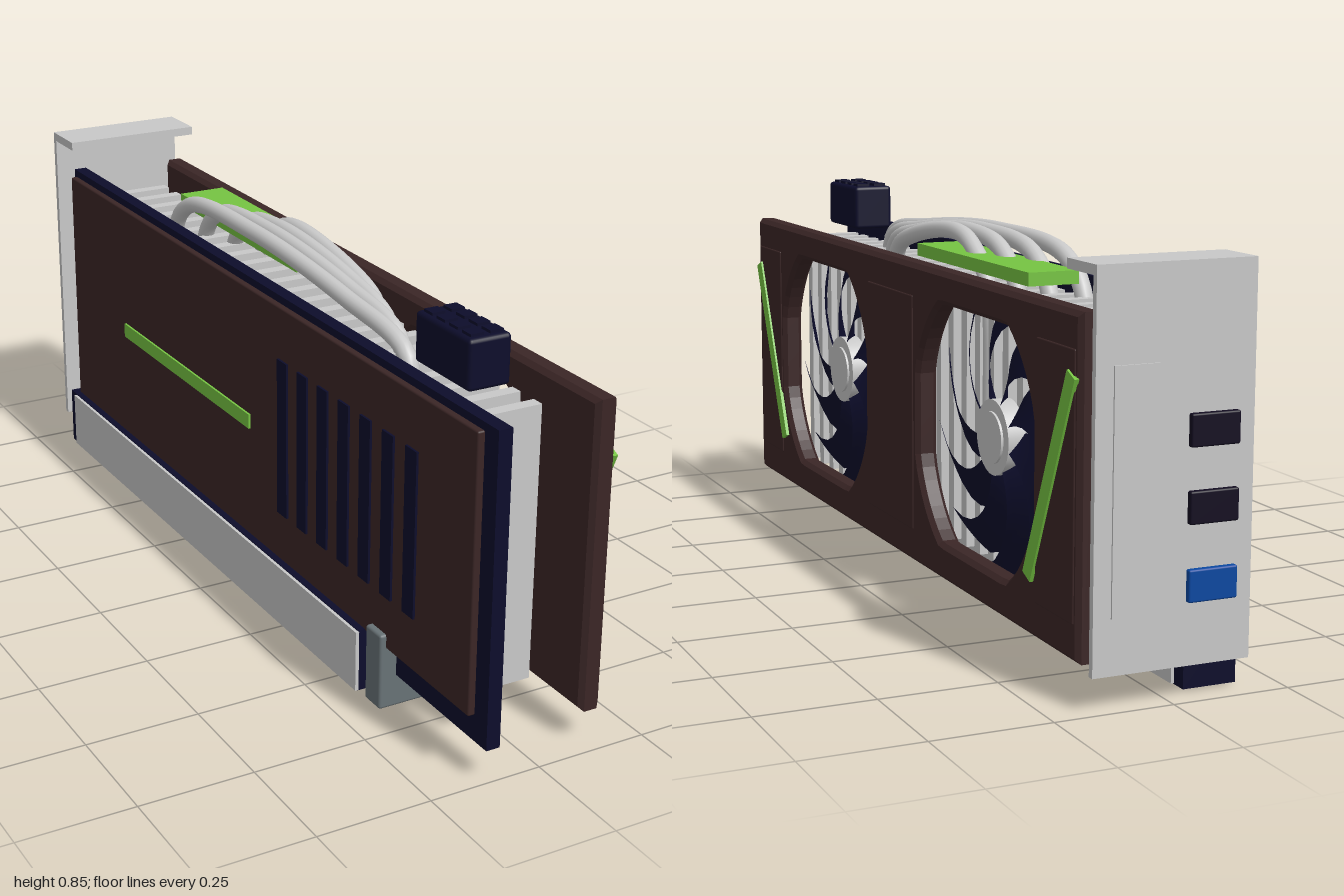
import * as THREE from 'three';
import { RoundedBoxGeometry } from 'three/addons/geometries/RoundedBoxGeometry.js';

const mat = (name, color, side = THREE.FrontSide) => {
  const m = new THREE.MeshStandardMaterial({ color, side });
  m.name = name;
  return m;
};

export function createModel() {
  const brown = mat('dark brown', 0x3b2626);
  const navy = mat('navy', 0x0d0d2b, THREE.DoubleSide);
  const silver = mat('light grey', 0xc8c8c8);
  const green = mat('lime green', 0x76c442);
  const slate = mat('slate grey', 0x687276);
  const dark = mat('port black', 0x120c20);
  const blue = mat('port blue', 0x0a47a0);

  const root = new THREE.Group();
  const add = (name, geo, material, parent = root) => {
    const mesh = new THREE.Mesh(geo, material);
    mesh.name = name;
    parent.add(mesh);
    return mesh;
  };
  // Box from its limits on each axis, optionally with rounded edges
  const box = (name, material, x, y, z, radius = 0, parent = root) => {
    const size = [x, y, z].map(([a, b]) => Math.abs(b - a));
    const geo = radius ? new RoundedBoxGeometry(...size, 2, radius) : new THREE.BoxGeometry(...size);
    const mesh = add(name, geo, material, parent);
    mesh.position.set((x[0] + x[1]) / 2, (y[0] + y[1]) / 2, (z[0] + z[1]) / 2);
    return mesh;
  };

  const fanY = 0.415;
  const fanZ = [0.48, -0.425];

  // Shroud: bevelled plate with two flattened round openings
  const plate = new THREE.Shape();
  plate.moveTo(-0.97, 0.075);
  plate.lineTo(0.92, 0.075);
  plate.lineTo(0.92, 0.745);
  plate.lineTo(-0.97, 0.745);
  plate.closePath();
  for (const z of fanZ) {
    const pts = [];
    for (let i = 0; i < 64; i++) {
      const a = (-i / 64) * Math.PI * 2;
      pts.push(new THREE.Vector2(
        -z + THREE.MathUtils.clamp(0.31 * Math.cos(a), -0.295, 0.295),
        fanY + THREE.MathUtils.clamp(0.31 * Math.sin(a), -0.26, 0.26)));
    }
    plate.holes.push(new THREE.Path(pts));
  }
  const shroudGeo = new THREE.ExtrudeGeometry(plate, {
    depth: 0.03, bevelThickness: 0.01, bevelSize: 0.01, bevelOffset: -0.01, bevelSegments: 1,
  });
  shroudGeo.rotateY(Math.PI / 2);
  add('shroud', shroudGeo, brown).position.x = 0.125;

  // Raised panels and slanted accent bars on the shroud
  for (const [a, b] of [[0.79, 0.955], [-0.11, 0.16], [-0.905, -0.74]]) {
    box('shroudPanel', brown, [0.16, 0.168], [0.15, 0.675], [a, b], 0.003);
  }
  for (const s of [1, -1]) {
    const bar = box('accentBar', green, [0.163, 0.173], [-0.235, 0.235], [-0.018, 0.018]);
    bar.position.set(0.168, 0.412, 0.025 + s * 0.83);
    bar.rotation.x = s * 0.41;
  }

  // Swept, pitched fan blade as a small grid
  const bladeGeo = () => {
    const rows = 8, cols = 5, pos = [], idx = [];
    for (let i = 0; i <= rows; i++) {
      const t = i / rows, r = 0.06 + 0.228 * t;
      for (let j = 0; j <= cols; j++) {
        const s = j / cols;
        const a = -0.75 * t * t + (s - 0.5) * (0.5 + 0.06 * Math.sin(Math.PI * t));
        pos.push((0.5 - s) * 0.036, r * Math.sin(a), -r * Math.cos(a));
        if (i < rows && j < cols) {
          const k = i * (cols + 1) + j, n = k + cols + 1;
          idx.push(k, n, k + 1, k + 1, n, n + 1);
        }
      }
    }
    const g = new THREE.BufferGeometry();
    g.setAttribute('position', new THREE.Float32BufferAttribute(pos, 3));
    g.setIndex(idx);
    g.computeVertexNormals();
    return g;
  };
  const blade = bladeGeo();
  for (const z of fanZ) {
    const fan = new THREE.Group();
    fan.name = 'fan';
    fan.position.set(0.096, fanY, z);
    root.add(fan);
    for (let i = 0; i < 9; i++) add('fanBlade', blade, navy, fan).rotation.x = (i / 9) * Math.PI * 2;
    add('fanHub', new THREE.CylinderGeometry(0.08, 0.08, 0.04, 40), silver, fan).rotation.z = -Math.PI / 2;
    const cap = add('hubCap', new THREE.CylinderGeometry(0.055, 0.055, 0.008, 40), silver, fan);
    cap.rotation.z = -Math.PI / 2;
    cap.position.x = 0.021;
  }

  // Heatsink fins
  for (let i = 0; i < 24; i++) {
    const z = 0.848 - i * 0.0721;
    box('heatsinkFin', silver, [-0.065, 0.065], [0.115, 0.71], [z - 0.014, z + 0.014]);
  }

  // Arched heat pipes
  const pipes = [[-0.057, 0.595, -0.51], [-0.022, 0.51, -0.42], [0.01, 0.41, -0.33], [0.042, 0.31, -0.25]];
  for (const [x, zf, zb] of pipes) {
    const path = new THREE.CatmullRomCurve3([
      [0.65, zf], [0.735, zf - 0.03], [0.777, zf * 0.55], [0.805, -0.08],
      [0.78, zb + 0.09], [0.70, zb + 0.01], [0.3, zb],
    ].map(([y, z]) => new THREE.Vector3(x, y, z)));
    add('heatPipe', new THREE.TubeGeometry(path, 60, 0.019, 14), silver);
    for (const [y, z] of [[0.65, zf], [0.3, zb]]) {
      add('pipeEnd', new THREE.SphereGeometry(0.019, 14, 8), silver).position.set(x, y, z);
    }
  }

  // Top badge block
  box('topBadge', green, [-0.02, 0.092], [0.743, 0.771], [-0.545, 0.04]);

  // Circuit board and backplate with vents and accent line
  box('circuitBoard', navy, [-0.127, -0.096], [0.075, 0.745], [-0.955, 1]);
  box('backplate', brown, [-0.152, -0.135], [0.142, 0.736], [-0.92, 0.97], 0.004);
  for (let i = 0; i < 7; i++) {
    const z = 0.225 + i * 0.0875;
    box('backVent', navy, [-0.157, -0.15], [0.26, 0.62], [z - 0.021, z + 0.021]);
  }
  box('backAccentLine', green, [-0.157, -0.15], [0.408, 0.442], [-0.6, 0.07]);

  // Edge connector: dark core with pale contact plates, and a retention latch
  box('edgeConnector', navy, [-0.168, -0.053], [0.006, 0.147], [-0.94, 0.58]);
  for (const x of [-0.171, -0.05]) {
    box('contactPlate', silver, [x - 0.004, x + 0.004], [0.008, 0.145], [-0.905, 0.582]);
  }
  box('connectorLatch', slate, [-0.166, -0.055], [0.002, 0.174], [0.605, 0.665], 0.006);

  // Power socket with small keyed caps
  box('powerSocket', navy, [-0.076, 0.02], [0.743, 0.849], [0.625, 0.82], 0.009);
  for (let i = 0; i < 4; i++) {
    for (const x of [-0.05, -0.006]) {
      const z = 0.655 + i * 0.045;
      box('socketCap', navy, [x - 0.015, x + 0.015], [0.84, 0.855], [z - 0.015, z + 0.015]);
    }
  }

  // Mounting bracket with flange, raised plate and ports
  box('bracket', silver, [-0.167, 0.167], [0.07, 0.84], [-0.988, -0.974]);
  box('bracketFlange', silver, [-0.167, 0.167], [0.82, 0.84], [-0.98, -0.868]);
  box('bracketPlate', silver, [0.035, 0.13], [0.18, 0.655], [-0.992, -0.985]);
  [[0.195, blue], [0.345, dark], [0.492, dark]].forEach(([y, m]) => {
    box('port', m, [-0.132, -0.028], [y, y + 0.064], [-1, -0.98], 0.004);
  });

  return root;
}
